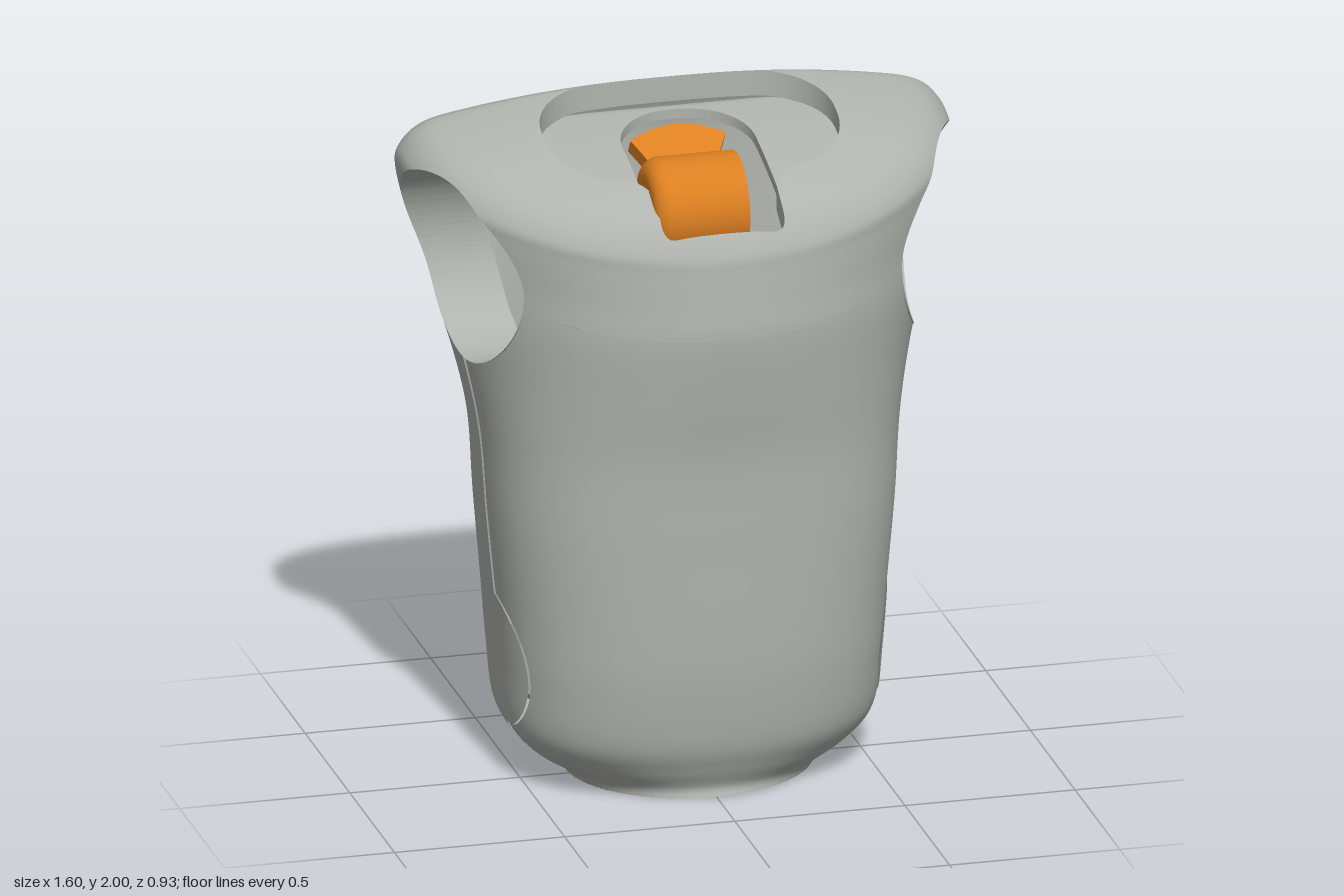
import * as THREE from 'three';
import { mergeVertices, toCreasedNormals } from 'three/addons/utils/BufferGeometryUtils.js';

const V = (x, y, z) => new THREE.Vector3(x, y, z);

// Cross-sections: level, half width, front z, back z, centre z, front power, back power, scale
const ROWS = [
  [0, 0.36, 0.3, -0.365, -0.03, 2, 2, 1],
  [0.03, 0.385, 0.295, -0.37, -0.03, 2.1, 2.2, 1],
  [0.09, 0.475, 0.325, -0.385, -0.03, 2.2, 2.8, 1],
  [0.18, 0.535, 0.36, -0.4, -0.03, 2.4, 3.6, 1],
  [0.35, 0.552, 0.385, -0.43, -0.03, 2.5, 3.8, 1],
  [0.52, 0.565, 0.397, -0.463, -0.03, 2.5, 3.6, 1],
  [0.8, 0.592, 0.407, -0.465, -0.04, 2.5, 3.3, 1],
  [1.05, 0.613, 0.418, -0.465, -0.06, 2.4, 2.9, 1],
  [1.25, 0.655, 0.445, -0.465, -0.1, 2.2, 2.7, 1],
  [1.45, 0.715, 0.465, -0.465, -0.14, 2.05, 2.7, 1],
  [1.63, 0.765, 0.458, -0.465, -0.18, 2, 2.9, 1],
  [1.8, 0.8, 0.445, -0.465, -0.2, 2.05, 3.1, 1],
  [1.87, 0.8, 0.445, -0.465, -0.2, 2.15, 3.2, 0.98],
  [1.925, 0.8, 0.445, -0.465, -0.2, 2.2, 3.2, 0.9],
  [1.953, 0.8, 0.445, -0.465, -0.2, 2.2, 3.2, 0.75],
  [1.98, 0.8, 0.445, -0.465, -0.2, 2.2, 3.2, 0.5],
  [1.995, 0.8, 0.445, -0.465, -0.2, 2.1, 3.2, 0.25],
  [2, 0.8, 0.445, -0.465, -0.2, 2.1, 3.2, 0],
];

// Smooth interpolation between neighbouring sections
function section(t) {
  const last = ROWS.length - 1;
  const i = Math.min(Math.floor(t), last - 1), f = t - i;
  const r = k => ROWS[Math.max(0, Math.min(last, i + k))];
  return ROWS[0].map((_, c) => {
    const p0 = r(-1)[c], p1 = r(0)[c], p2 = r(1)[c], p3 = r(2)[c];
    const m1 = (p2 - p0) / 2, m2 = (p3 - p1) / 2;
    return p1 + f * (m1 + f * (3 * (p2 - p1) - 2 * m1 - m2 + f * (2 * (p1 - p2) + m1 + m2)));
  });
}

// Shoulders fall away in a curve to the front and to the back
function shoulderDrop(z) {
  const d = z + 0.22;
  return d > 0 ? 0.11 * d + 0.25 * d * d : -0.25 * d + 0.5 * d * d;
}

function shellPoint(u, t) {
  const [level, a, front, back, zc, nf, nb, s] = section(t);
  const sn = Math.sin(u), cs = Math.cos(u), n = cs > 0 ? nf : nb;
  const x = Math.sign(sn) * Math.abs(sn) ** (2 / n) * a * s;
  const z = zc + Math.abs(cs) ** (2 / n) * ((cs > 0 ? front : back) - zc) * s;
  return V(x, level - THREE.MathUtils.smoothstep(level, 1.35, 1.9) * shoulderDrop(z), z);
}

function gridTriangles(nu, nv, point) {
  const tris = [], rows = [];
  for (let j = 0; j <= nv; j++) {
    rows.push(Array.from({ length: nu + 1 }, (_, i) => point(i / nu, j / nv)));
  }
  for (let j = 0; j < nv; j++) for (let i = 0; i < nu; i++) {
    const a = rows[j][i], b = rows[j][i + 1], c = rows[j + 1][i + 1], d = rows[j + 1][i];
    tris.push([a, b, c], [a, c, d]);
  }
  return tris;
}

// Keep where f > 0; each cut edge can grow a wall along rimDir
function clip(tris, f, rims, rimDir) {
  const out = [];
  const cross = (p, q) => {
    let a = p, b = q;
    if (f(a) <= 0) [a, b] = [b, a];
    for (let k = 0; k < 10; k++) {
      const m = a.clone().lerp(b, 0.5);
      if (f(m) > 0) a = m; else b = m;
    }
    return a;
  };
  for (const tri of tris) {
    const inside = tri.map(p => f(p) > 0);
    if (inside.every(Boolean)) { out.push(tri); continue; }
    if (!inside.some(Boolean)) continue;
    const poly = [], cut = [];
    for (let k = 0; k < 3; k++) {
      const n = (k + 1) % 3;
      if (inside[k]) poly.push(tri[k]);
      if (inside[k] !== inside[n]) {
        const c = cross(tri[k], tri[n]);
        poly.push(c);
        cut.push(c);
      }
    }
    for (let k = 2; k < poly.length; k++) out.push([poly[0], poly[k - 1], poly[k]]);
    if (rims) {
      const [a, b] = cut, a2 = a.clone().add(rimDir(a)), b2 = b.clone().add(rimDir(b));
      rims.push([a, b, b2], [a, b2, a2]);
    }
  }
  return out;
}

function toGeometry(tris, crease) {
  let g = new THREE.BufferGeometry().setFromPoints(tris.flat());
  if (crease) return toCreasedNormals(g, crease);
  g = mergeVertices(g, 1e-4);
  g.computeVertexNormals();
  return g;
}

// Signed distance to a rounded rectangle in plan
function roundRect(x, z, cz, hx, hz, r) {
  const qx = Math.abs(x) - hx + r, qz = Math.abs(z - cz) - hz + r;
  return Math.hypot(Math.max(qx, 0), Math.max(qz, 0)) + Math.min(Math.max(qx, qz), 0) - r;
}

const collar = p => roundRect(p.x, p.z, -0.005, 0.43, 0.225, 0.21);
// Front notch, flaring where it meets the collar
const notch = p => {
  const flare = 0.08 * THREE.MathUtils.clamp((0.29 - p.z) / 0.09, 0, 1) ** 2;
  return roundRect(p.x, p.z, 0.25, 0.18 + flare, 0.15, 0.03);
};
const armHole = p => Math.hypot((p.y - 1.565) / 0.285, (p.z + 0.015) / 0.272) - 1;
// Tapering rear slot, straight along its forward edge
const slot = p => {
  if (p.z > -0.2 || p.y < 0.1) return 1;
  const width = 0.09 * Math.sqrt((p.y - 0.1) / 0.25);
  return Math.max(p.z + 0.32, -0.32 - width - p.z, p.y - 0.35, 0.2 - Math.abs(p.x));
};
// Front panel boundary: chest line, side seam and round hip lobe
const frontPanel = (p, gap) => {
  const lobe = Math.sqrt(Math.max(0, 0.038 - (p.y - 0.36) ** 2));
  return Math.min(p.z + 0.03 - lobe - gap, 1.445 + 0.2 * p.x * p.x - p.y - gap / 2);
};

export function createModel() {
  const group = new THREE.Group();
  const grey = new THREE.MeshStandardMaterial({ color: 0xb0b3ad, side: THREE.DoubleSide });
  grey.name = 'shell grey';
  const orange = new THREE.MeshStandardMaterial({ color: 0xdb7f21 });
  orange.name = 'joint orange';
  const add = (name, geometry, material) => {
    const m = new THREE.Mesh(geometry, material);
    m.name = name;
    group.add(m);
    return m;
  };

  // Torso shell with deep arm sockets, neck recess and rear slots
  const rims = [];
  let shell = gridTriangles(192, 110, (u, v) => shellPoint(u * Math.PI * 2, v * (ROWS.length - 1)));
  shell = clip(shell, armHole, rims, p => V(-0.2 * Math.sign(p.x), 0, 0));
  shell = clip(shell, p => (p.y < 1.6 ? 1 : Math.min(collar(p), notch(p))), rims, () => V(0, -0.075, 0));
  shell = clip(shell, slot, rims, p => V(-0.03 * Math.sign(p.x), 0, 0.045));
  add('upperAndBackShell', toGeometry(clip(shell, p => -frontPanel(p, -0.003))), grey);
  add('frontPanel', toGeometry(clip(shell, p => frontPanel(p, 0.003))), grey).scale.set(0.994, 1, 0.99);
  add('openingWalls', toGeometry(rims, 0.6), grey);

  // Sloping floor of the neck recess
  const floorRims = [];
  let floor = gridTriangles(60, 40, (u, v) => {
    const z = 0.3 - 0.56 * v;
    return V(0.9 * (u - 0.5), 1.91 - shoulderDrop(z), z);
  });
  floor = clip(floor, p => 0.004 - collar(p));
  floor = clip(floor, p => roundRect(p.x, p.z, 0.1, 0.195, 0.3, 0.19), floorRims, () => V(0, -0.03, 0));
  add('neckFloor', toGeometry(floor), grey);
  add('neckFloorEdge', toGeometry(floorRims, 0.6), grey);

  // Thick rim of the waist opening
  const rim = [[0.36, 0.002], [0.32, 0.002], [0.32, 0.002], [0.33, 0.1]].map(p => new THREE.Vector2(...p));
  const waist = add('waistRim', new THREE.LatheGeometry(rim, 64), grey);
  waist.scale.z = 0.92;
  waist.position.z = -0.03;

  // Backs of the two rear slots
  for (const s of [-1, 1]) {
    const plate = add(s > 0 ? 'leftSlotBack' : 'rightSlotBack', new THREE.BoxGeometry(0.13, 0.22, 0.01), grey);
    plate.position.set(s * 0.375, 0.25, -0.318);
    plate.rotation.y = -s * 0.6;
  }

  // Neck joint: barrel with one rounded end
  const barrel = [[0, -0.19], [0.09, -0.19]];
  for (let k = 0; k <= 6; k++) {
    const a = (k / 6) * Math.PI / 2;
    barrel.push([0.1 + 0.05 * Math.sin(a), -0.14 - 0.05 * Math.cos(a)]);
  }
  barrel.push([0.15, 0.08], [0, 0.08]);
  const barrelGeo = new THREE.LatheGeometry(barrel.map(p => new THREE.Vector2(...p)), 48);
  const joint = add('neckBarrel', toCreasedNormals(barrelGeo, 0.6), orange);
  joint.rotation.z = -Math.PI / 2;
  joint.position.set(0, 1.77, 0.22);

  // Foot joining the barrel to the lever
  add('leverFoot', new THREE.BoxGeometry(0.15, 0.08, 0.12), orange).position.set(0, 1.66, 0.17);

  // Waisted lever behind the barrel
  const s = new THREE.Shape();
  s.moveTo(-0.075, 0);
  s.quadraticCurveTo(-0.06, 0.05, -0.045, 0.1);
  s.quadraticCurveTo(-0.06, 0.17, -0.14, 0.33);
  s.quadraticCurveTo(0, 0.42, 0.14, 0.33);
  s.quadraticCurveTo(0.06, 0.17, 0.045, 0.1);
  s.quadraticCurveTo(0.06, 0.05, 0.075, 0);
  const lever = add('neckLever', new THREE.ExtrudeGeometry(s, { depth: 0.05, bevelEnabled: false }), orange);
  lever.rotation.x = -0.97;
  lever.position.set(0, 1.62, 0.11);

  return group;
}
